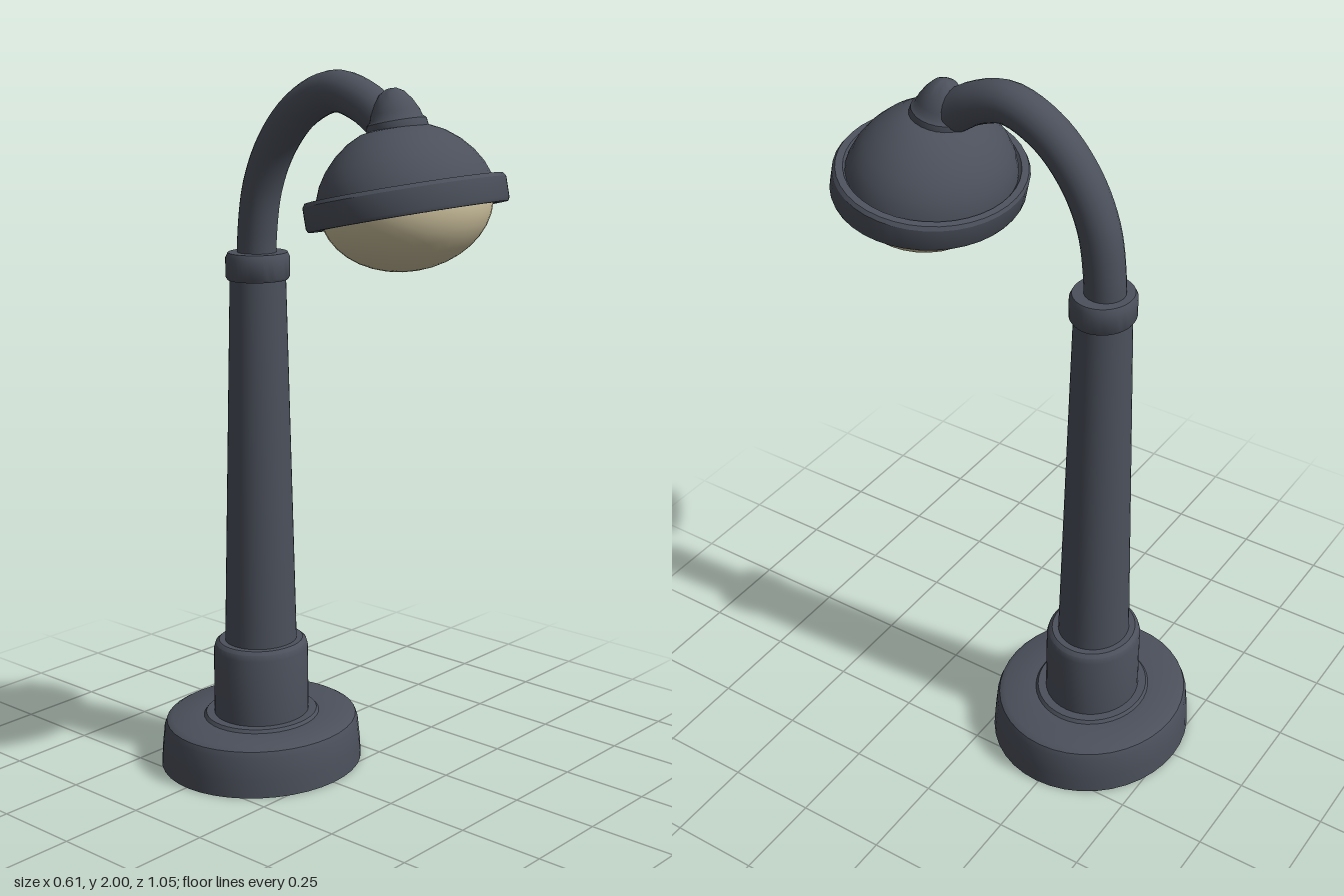
import * as THREE from 'three';
import { toCreasedNormals } from 'three/addons/utils/BufferGeometryUtils.js';

const iron = new THREE.MeshStandardMaterial({ color: 0x4b505b });
iron.name = 'dark iron';
const glass = new THREE.MeshStandardMaterial({ color: 0xd0c4a0 });
glass.name = 'cream glass';

// Turned part from a profile of [radius, height] pairs, listed bottom to top
function turned(name, profile, material, depth, segments = 40) {
  const points = profile.map(([r, y]) => new THREE.Vector2(r, y));
  const geometry = toCreasedNormals(new THREE.LatheGeometry(points, segments), 0.6);
  const mesh = new THREE.Mesh(geometry, material);
  mesh.name = name;
  mesh.scale.z = depth;
  return mesh;
}

// Quarter ellipse profile between two angles
function arc(radius, height, from, to, steps) {
  return Array.from({ length: steps + 1 }, (_, i) => {
    const a = from + (to - from) * i / steps;
    return [Math.max(0, radius * Math.cos(a)), height * Math.sin(a)];
  });
}

export function createModel() {
  const model = new THREE.Group();
  model.name = 'streetLamp';

  // Post, slightly wider than deep
  const post = new THREE.Group();
  post.name = 'post';
  post.position.z = -0.243;
  post.add(
    // hollow foot, open underneath
    turned('foot', [[0, 0.09], [0.15, 0.09], [0.15, 0.08], [0.25, 0.08], [0.265, 0],
      [0.305, 0], [0.302, 0.05], [0.295, 0.115], [0.288, 0.132], [0.272, 0.141],
      [0.175, 0.141], [0.168, 0.15], [0.14, 0.15]], iron, 0.925),
    turned('lowerSleeve', [[0.143, 0.13], [0.142, 0.345], [0.137, 0.362], [0.126, 0.371],
      [0.09, 0.371]], iron, 0.93),
    turned('column', [[0.108, 0.36], [0.081, 1.43]], iron, 0.93),
    turned('topCollar', [[0.075, 1.422], [0.088, 1.422], [0.093, 1.43], [0.093, 1.483],
      [0.086, 1.497], [0, 1.497]], iron, 0.93));
  model.add(post);

  // Curved arm
  const path = new THREE.CatmullRomCurve3([
    [1.45, -0.247], [1.55, -0.244], [1.68, -0.222], [1.8, -0.165], [1.895, -0.075],
    [1.943, 0.04], [1.92, 0.135], [1.87, 0.215],
  ].map(([y, z]) => new THREE.Vector3(0, y, z)));
  const arm = new THREE.Mesh(new THREE.TubeGeometry(path, 32, 0.055, 20), iron);
  arm.name = 'arm';
  model.add(arm);

  // Lamp head, tipped with its front edge up
  const head = new THREE.Group();
  head.name = 'lampHead';
  head.position.set(0, 1.67, 0.283);
  head.rotation.x = -0.218;
  head.add(
    turned('rim', [[0.25, -0.02], [0.256, -0.035], [0.288, -0.035], [0.293, -0.026],
      [0.293, 0.028], [0.286, 0.038], [0.264, 0.038], [0.257, 0.026], [0.245, 0.02],
      [0.25, -0.02]], iron, 0.82),
    turned('shade', [[0.255, 0.015], [0.25, 0.04], [0.235, 0.075], [0.212, 0.108],
      [0.18, 0.14], [0.14, 0.168], [0.1, 0.186], [0.05, 0.195], [0, 0.197]], iron, 0.84),
    turned('glassBowl', [...arc(0.25, 0.174, -Math.PI / 2, 0, 9), [0, 0.01]], glass, 0.82, 32));
  const finial = turned('finial', [[0.08, 0.165], [0.083, 0.185], [0.08, 0.205],
    [0.071, 0.213], [0.066, 0.23], [0.052, 0.256], [0.034, 0.279], [0.015, 0.29],
    [0, 0.292]], iron, 0.95, 24);
  finial.position.z = 0.008;
  head.add(finial);
  model.add(head);

  return model;
}
